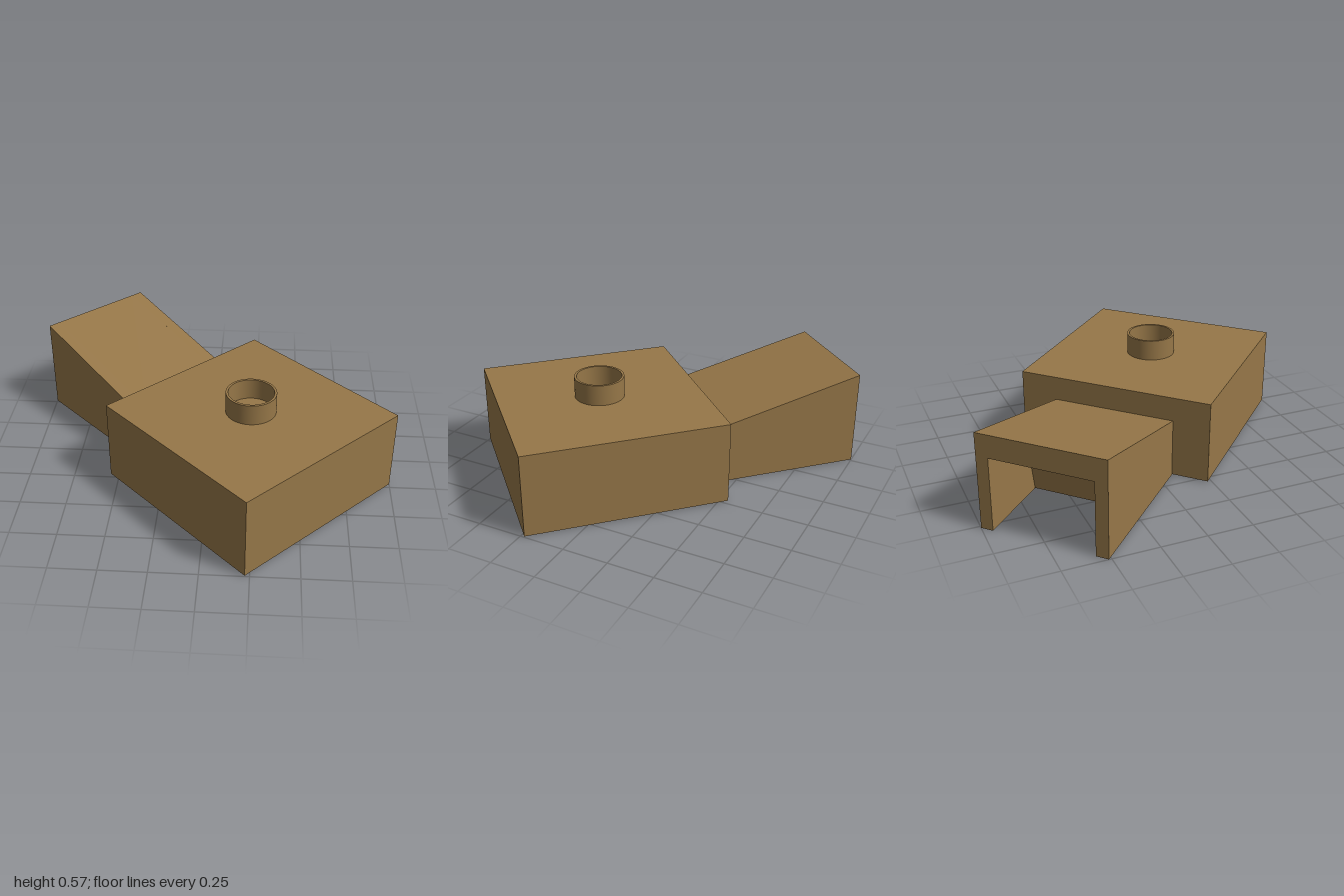
import * as THREE from 'three';

export function createModel() {
  const material = new THREE.MeshStandardMaterial({ color: 0x967748 });
  const model = new THREE.Group();

  // Everything is square to this frame, turned 45 degrees; the chute runs along its -z.
  const body = new THREE.Group();
  body.name = 'body';
  body.position.set(0.226, 0, 0.226);
  body.rotation.y = Math.PI / 4;
  model.add(body);

  const add = (name, geometry, x = 0, y = 0, z = 0) => {
    const mesh = new THREE.Mesh(geometry, material);
    mesh.name = name;
    mesh.position.set(x, y, z);
    body.add(mesh);
  };

  // Main block
  const side = 1.094;
  add('mainBlock', new THREE.BoxGeometry(side, 0.455, side), 0, 0.2325, 0);

  // Open collar on top of the block
  const collar = [[0.122, 0.46], [0.135, 0.46], [0.135, 0.575], [0.122, 0.575], [0.122, 0.46]];
  const profile = [];
  collar.forEach(([r, y], i) => {
    // Doubled corners keep the rims sharp
    profile.push(new THREE.Vector2(r, y));
    if (i > 0 && i < collar.length - 1) profile.push(new THREE.Vector2(r, y));
  });
  add('collar', new THREE.LatheGeometry(profile, 64));

  // Chute: side profiles (distance outward, height) extruded across its width
  const near = side / 2, far = 1.39, width = 0.686, wall = 0.067;
  const slab = (points, thickness) =>
    new THREE.ExtrudeGeometry(
      new THREE.Shape(points.map(([d, y]) => new THREE.Vector2(d, y))),
      { depth: thickness, bevelEnabled: false }
    ).rotateY(Math.PI / 2);

  const cheek = [[near, 0], [far, 0], [far, 0.53], [near, 0.327]];
  add('chuteWallLeft', slab(cheek, wall), width / 2 - wall);
  add('chuteWallRight', slab(cheek, wall), -width / 2);

  // Solid root and sloping roof, with the recess open below and at the end
  const core = [
    [near, 0], [near + 0.405, 0], [near + 0.46, 0.275],
    [far, 0.405], [far, 0.53], [near, 0.327],
  ];
  add('chuteCore', slab(core, width - 2 * wall), -width / 2 + wall);

  return model;
}
